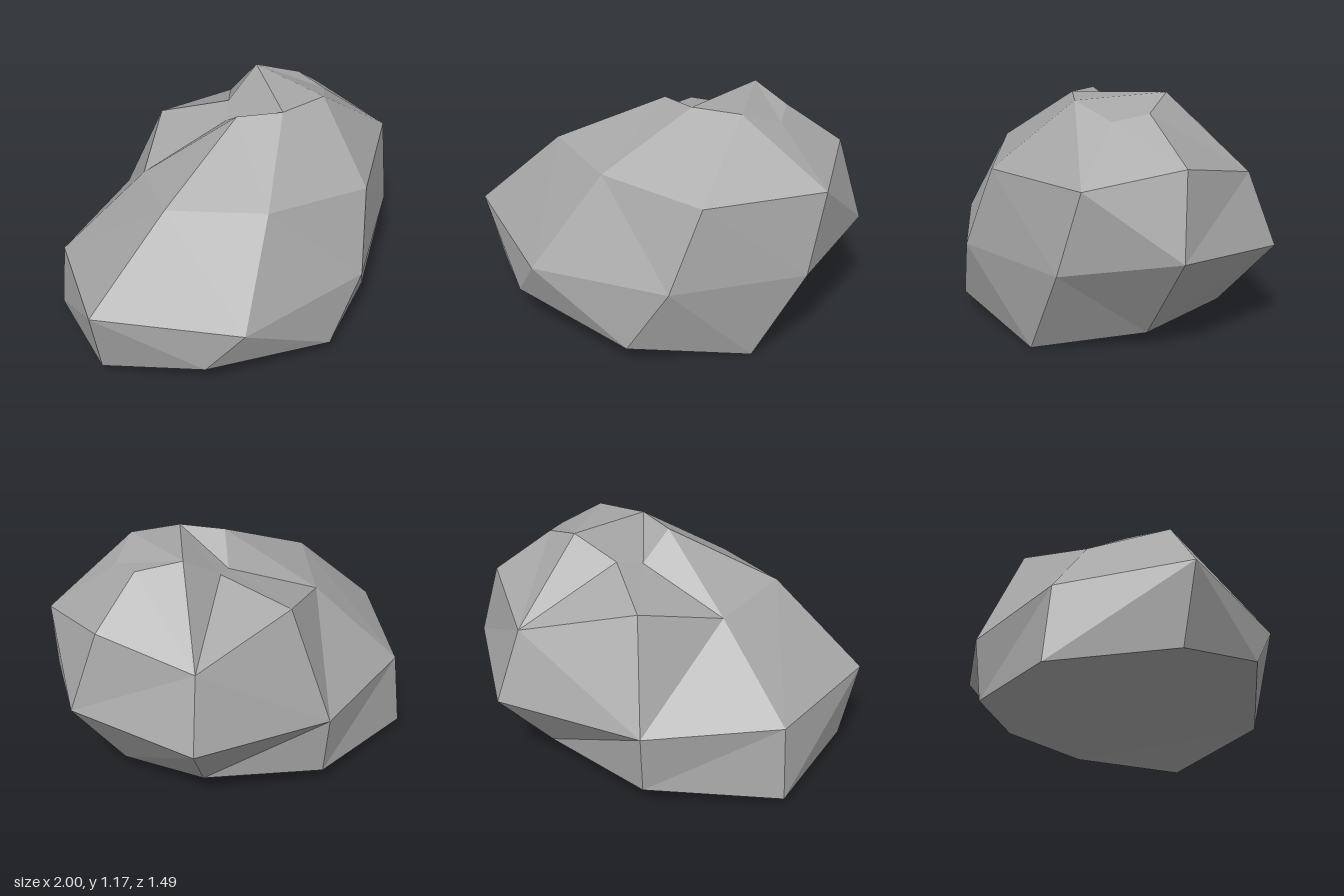
import * as THREE from 'three';

// Four rings of eight corners, bottom to top, running counter-clockwise seen from above
const rings = [
  [[-0.92, 0.08, 0.02], [-0.65, 0.18, 0.48], [-0.01, 0.09, 0.735], [0.56, 0, 0.505],
    [0.69, 0.07, -0.03], [0.5, 0.12, -0.46], [-0.05, 0.08, -0.71], [-0.72, 0.03, -0.55]],
  [[-1, 0.47, 0.06], [-0.52, 0.4, 0.62], [0.2, 0.425, 0.745], [0.8, 0.44, 0.43],
    [1, 0.515, -0.1], [0.69, 0.45, -0.67], [-0.05, 0.395, -0.745], [-0.7, 0.41, -0.51]],
  [[-0.54, 0.89, 0.11], [-0.2, 0.87, 0.46], [0.33, 0.83, 0.63], [0.86, 0.84, 0.33],
    [0.87, 0.91, -0.15], [0.6, 0.8, -0.56], [0.02, 0.93, -0.51], [-0.34, 0.83, -0.26]],
  [[0.01, 1.135, 0.05], [0.18, 1.15, 0.2], [0.43, 1.155, 0.25], [0.6, 1.08, 0.12],
    [0.6, 1.11, -0.06], [0.42, 1.17, -0.2], [0.21, 1.04, -0.2], [0.1, 1.005, -0.11]],
];

// Way each quad is split, per band: 1 = upper corner to next lower corner
const splits = ['11110000', '11110100', '11111000'];

const topCap = [[0, 1, 7], [7, 1, 6], [6, 1, 5], [1, 2, 5], [2, 3, 5], [3, 4, 5]];
const bottomCap = [[2, 3, 4], [2, 4, 5], [2, 5, 6], [1, 2, 6], [0, 1, 6], [0, 6, 7]];

function rockGeometry() {
  const n = 8;
  const index = [];

  // Side bands
  splits.forEach((split, band) => {
    for (let i = 0; i < n; i++) {
      const j = (i + 1) % n;
      const a = band * n + i, b = band * n + j;
      const c = b + n, d = a + n;
      if (split[i] === '1') index.push(a, b, d, b, c, d);
      else index.push(a, b, c, a, c, d);
    }
  });

  // Uneven crown and underside
  for (const [a, b, c] of topCap) index.push(a + 3 * n, b + 3 * n, c + 3 * n);
  for (const [a, b, c] of bottomCap) index.push(a, c, b);

  const indexed = new THREE.BufferGeometry();
  indexed.setAttribute('position', new THREE.Float32BufferAttribute(rings.flat(2), 3));
  indexed.setIndex(index);
  const geometry = indexed.toNonIndexed();
  geometry.computeVertexNormals(); // one normal per facet
  return geometry;
}

export function createModel() {
  const stone = new THREE.MeshStandardMaterial({ color: 0xa6a6a6 });
  stone.name = 'stone grey';
  stone.flatShading = true;

  const rock = new THREE.Mesh(rockGeometry(), stone);
  rock.name = 'rock';

  const model = new THREE.Group();
  model.name = 'boulder';
  model.add(rock);
  return model;
}
